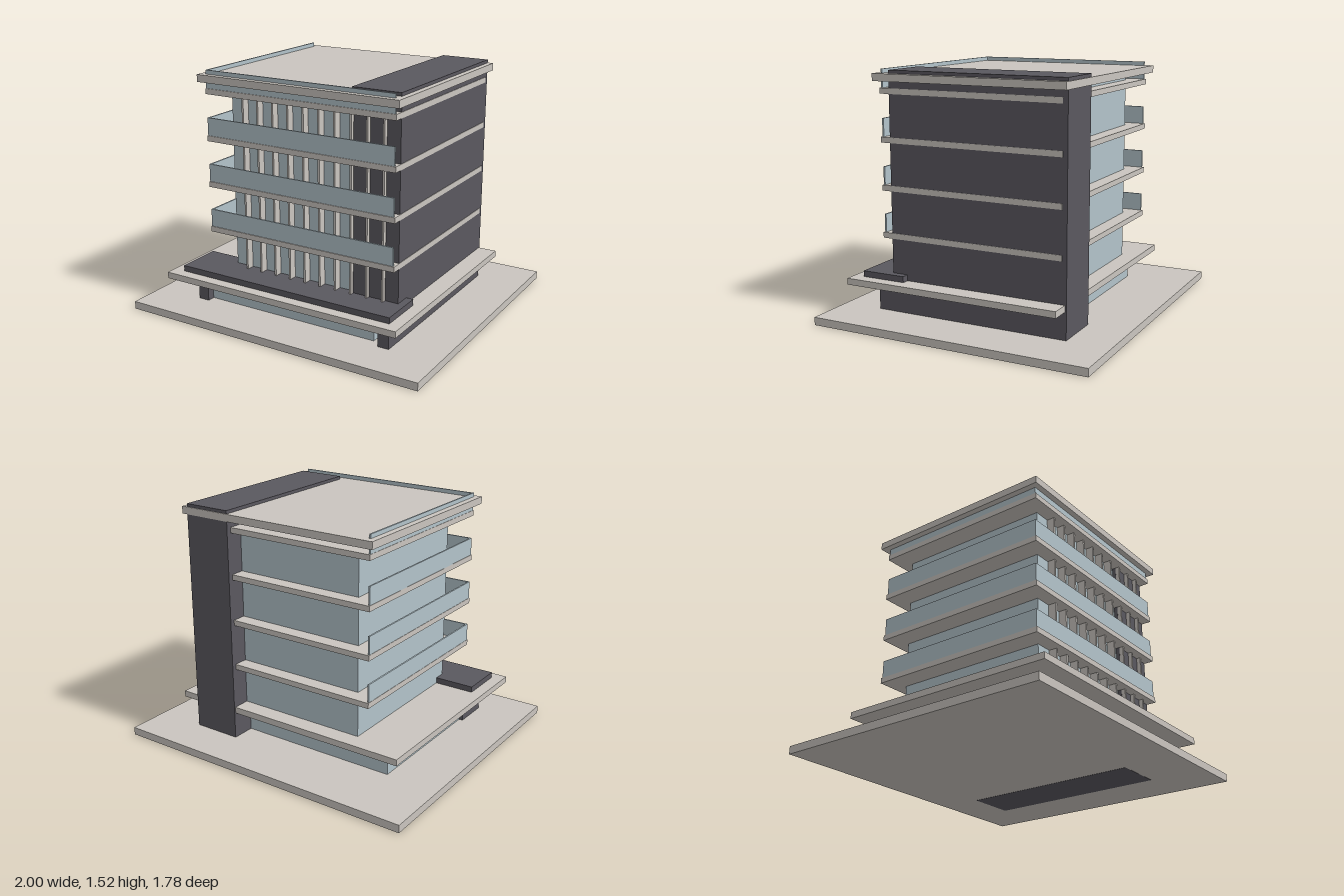
import * as THREE from 'three';

const stone = new THREE.MeshStandardMaterial({ name: 'pale stone', color: 0xcac5bf });
const dark = new THREE.MeshStandardMaterial({ name: 'dark cladding', color: 0x5a585f });
const glass = new THREE.MeshStandardMaterial({ name: 'blue glass', color: 0xb3c3ca });

export function createModel() {
  const model = new THREE.Group();
  model.name = 'officeBuilding';

  // Box given by its extents along each axis
  const block = (name, material, [x0, x1], [y0, y1], [z0, z1], parent = model) => {
    const mesh = new THREE.Mesh(new THREE.BoxGeometry(x1 - x0, y1 - y0, z1 - z0), material);
    mesh.position.set((x0 + x1) / 2, (y0 + y1) / 2, (z0 + z1) / 2);
    mesh.name = name;
    parent.add(mesh);
    return mesh;
  };

  // Plinth, with the service core running from the ground through the roof
  block('plinth', stone, [-1, 1], [0.001, 0.05], [-0.89, 0.89]);
  block('serviceCore', dark, [0.375, 0.685], [0, 1.515], [-0.62, 0.53]);

  // Ground floor
  block('groundFloorGlass', glass, [-0.66, 0.56], [0.05, 0.216], [-0.47, 0.585]);
  block('leftPier', dark, [-0.685, -0.612], [0.05, 0.216], [0.41, 0.635]);
  block('rightPier', dark, [0.612, 0.684], [0.05, 0.216], [0.41, 0.635]);
  block('canopySlab', stone, [-0.805, 0.805], [0.215, 0.255], [-0.61, 0.785]);
  block('entranceCanopy', dark, [-0.73, 0.73], [0.255, 0.292], [0.43, 0.717]);

  // Upper floors
  block('upperGlass', glass, [-0.47, 0.38], [0.255, 1.455], [-0.5, 0.505]);

  // Vertical fins across the front
  const fins = new THREE.Group();
  fins.name = 'facadeFins';
  model.add(fins);
  for (let i = 0; i < 10; i++) {
    const x = -0.358 + i * 0.1057;
    block('fin', stone, [x - 0.006, x + 0.006], [0.255, 1.45], [0.49, 0.555], fins);
  }

  // Floor slabs, each with a glass balustrade along the front and left
  for (let i = 0; i < 4; i++) {
    const y = 0.505 + i * 0.29;
    const floor = new THREE.Group();
    floor.name = 'floor' + (i + 1);
    model.add(floor);
    block('floorSlab', stone, [-0.6, 0.688], [y, y + 0.034], [-0.59, 0.592], floor);
    block('frontBalustrade', glass, [-0.598, 0.678], [y + 0.034, y + 0.145], [0.577, 0.587], floor);
    block('leftBalustrade', glass, [-0.598, -0.588], [y + 0.034, y + 0.145], [-0.58, 0.577], floor);
  }

  // Roof slab
  block('roofSlab', stone, [-0.637, 0.72], [1.45, 1.495], [-0.625, 0.622]);

  return model;
}
